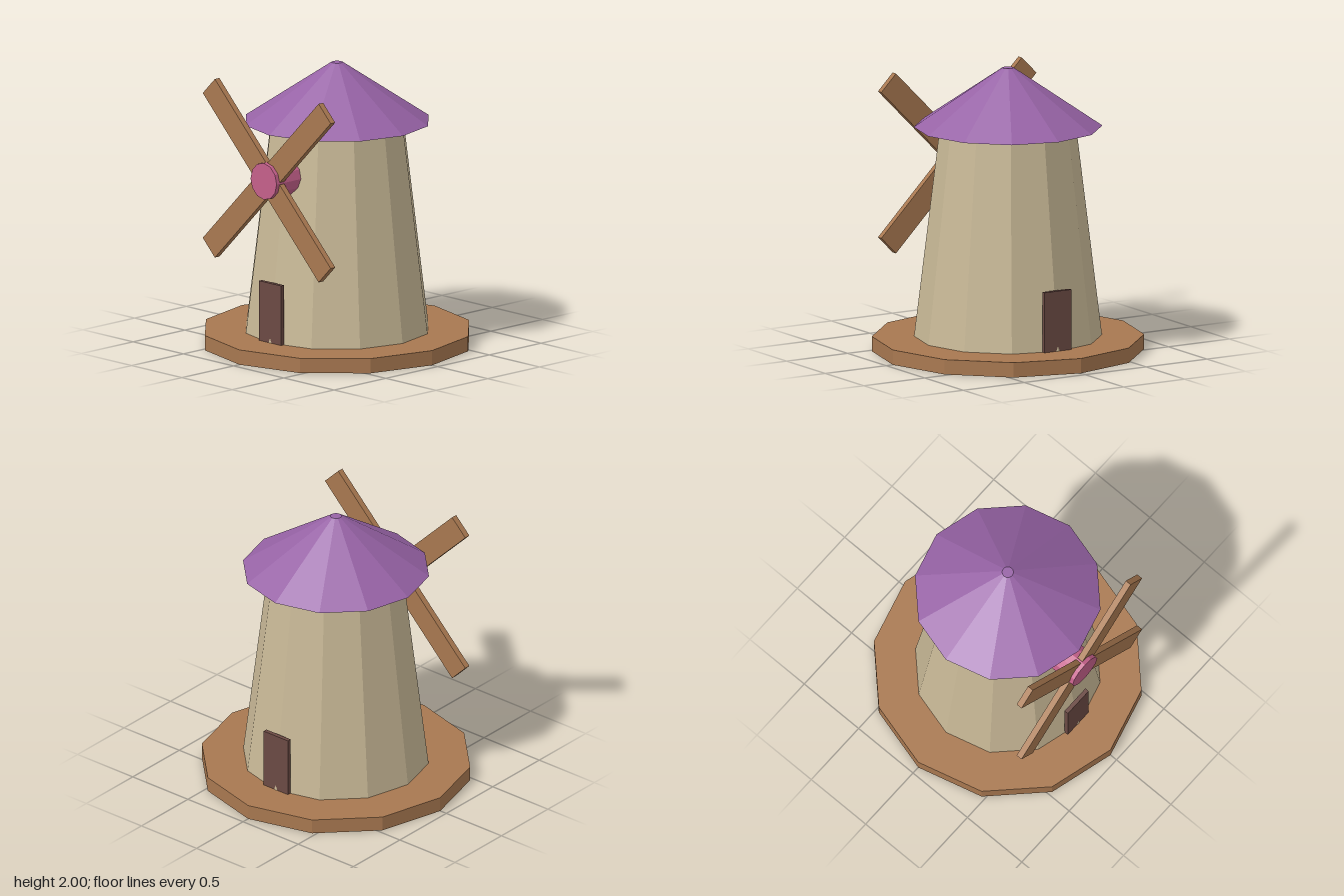
import * as THREE from 'three';

const SIDES = 12;

function makeMaterial(name, color) {
  const material = new THREE.MeshStandardMaterial({ color, flatShading: true });
  material.name = name;
  return material;
}

export function createModel() {
  const wood = makeMaterial('wood', 0xa87850);
  const plaster = makeMaterial('plaster', 0xc8b896);
  const purple = makeMaterial('roofPurple', 0x9763a6);
  const pink = makeMaterial('hubPink', 0xc4608a);
  const darkWood = makeMaterial('darkWood', 0x6b4a44);

  const model = new THREE.Group();
  model.name = 'windmill';

  const add = (name, geometry, material, x, y, z, parent = model) => {
    const mesh = new THREE.Mesh(geometry, material);
    mesh.name = name;
    mesh.position.set(x, y, z);
    parent.add(mesh);
    return mesh;
  };

  // Upright twelve-sided frustum between two heights
  const frustum = (name, material, rTop, rBottom, y0, y1) =>
    add(name, new THREE.CylinderGeometry(rTop, rBottom, y1 - y0, SIDES), material, 0, (y0 + y1) / 2, 0);

  frustum('base', wood, 0.945, 0.945, 0, 0.105);
  frustum('tower', plaster, 0.472, 0.652, 0.105, 1.585);
  frustum('roof', purple, 0.04, 0.655, 1.585, 2);

  // Matching doors at the front and back
  for (const [name, side] of [['frontDoor', 1], ['backDoor', -1]]) {
    add(name, new THREE.BoxGeometry(0.22, 0.425, 0.03), darkWood, 0, 0.3175, side * 0.633);
  }

  // Sails: a hub reaching into the tower and two crossed blades
  const sails = new THREE.Group();
  sails.name = 'sails';
  sails.position.set(0, 1.267, 0);
  model.add(sails);

  const hub = add('hub', new THREE.CylinderGeometry(0.13, 0.13, 0.26, SIDES), pink, 0, 0, 0.58, sails);
  hub.rotation.x = Math.PI / 2;

  for (const side of [1, -1]) {
    const blade = add(side > 0 ? 'risingBlade' : 'fallingBlade',
      new THREE.BoxGeometry(1.63, 0.17, 0.044), wood, 0, 0, 0.658, sails);
    blade.rotation.z = side * Math.PI / 4;
  }

  return model;
}
